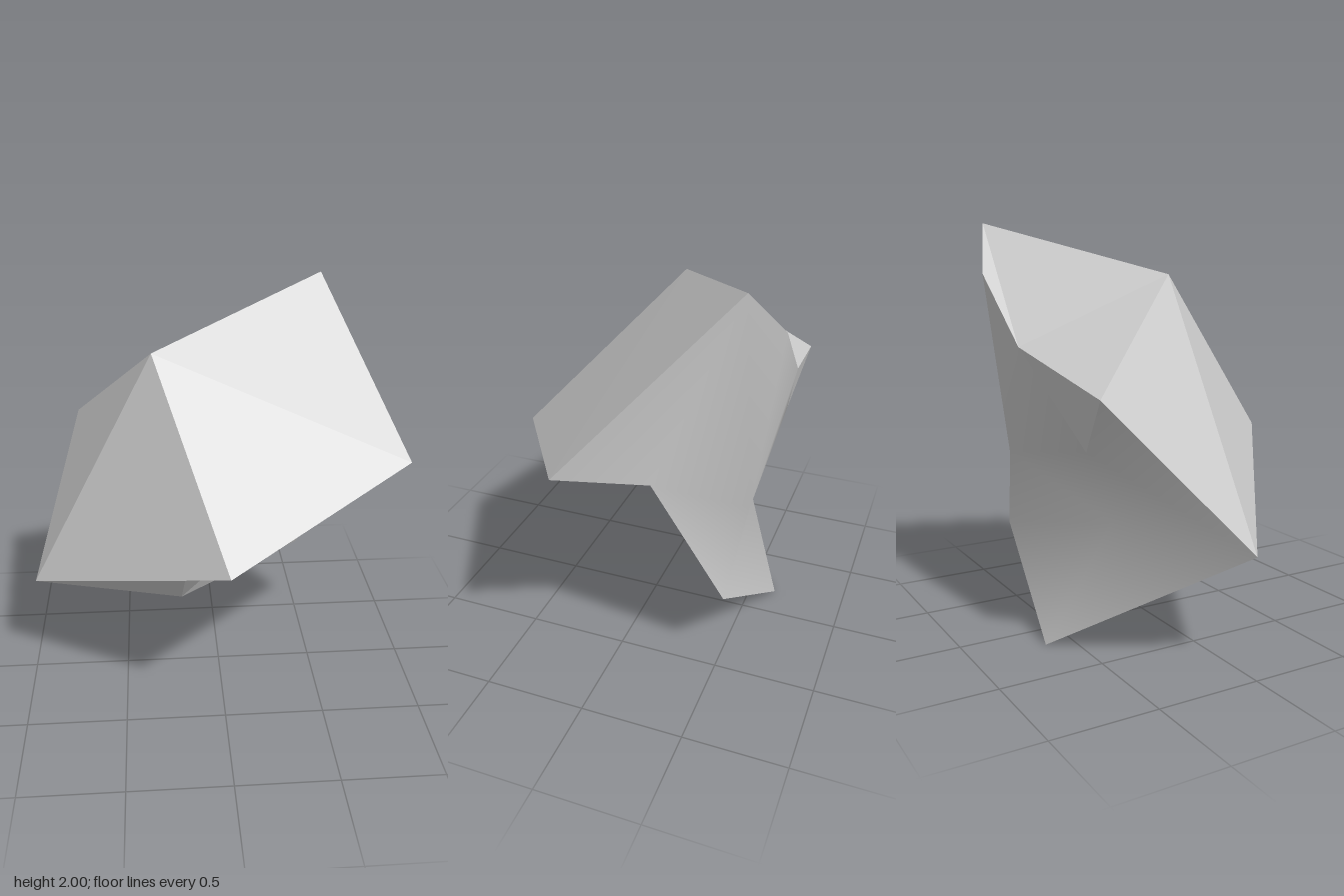
import * as THREE from 'three';

// Corner points of the boulder
const P = {
  peak: [0.585, 2.0, -0.6],
  shoulder: [-0.32, 1.75, -0.04],
  nose: [0.005, 0.93, 0.71],
  wing: [0.955, 1.21, 0.12],
  side: [-0.96, 0.55, 0.02],
  sideTop: [-0.73, 1.255, -0.62],
  foot: [-0.18, 0.0, -0.635],
  wingBase: [0.71, 1.12, -0.24],
  belly: [-0.14, 0.56, -0.16],
  heel: [0.5, 0.425, -0.53],
  backTop: [0.32, 1.75, -0.71],
  backRim: [-0.06, 1.42, -0.69],
  overhang: [-0.49, 0.99, -0.565],
  ridge: [0.32, 0.85, -0.59],
  hollow: [-0.39, 0.62, -0.38],
};

// Builds a mesh from polygons of named corners; smooth shares normals between them
function shell(name, polygons, smooth, material) {
  const names = Object.keys(P);
  const index = [];
  for (const polygon of polygons) {
    const ids = polygon.split(' ').map((n) => names.indexOf(n));
    for (let i = 1; i < ids.length - 1; i++) index.push(ids[0], ids[i], ids[i + 1]);
  }
  let geometry = new THREE.BufferGeometry();
  geometry.setAttribute('position', new THREE.Float32BufferAttribute(Object.values(P).flat(), 3));
  geometry.setIndex(index);
  // Dropping the index leaves every flat facet with its own corners
  if (smooth) {
    geometry.computeVertexNormals();
    geometry = geometry.toNonIndexed();
  } else {
    geometry = geometry.toNonIndexed();
    geometry.computeVertexNormals();
  }
  const mesh = new THREE.Mesh(geometry, material);
  mesh.name = name;
  return mesh;
}

export function createModel() {
  const stone = new THREE.MeshStandardMaterial({ color: 0xcccccc });
  stone.name = 'stone grey';

  const boulder = new THREE.Group();
  boulder.name = 'boulder';
  boulder.add(
    // Broad slab and facets facing forward
    shell('frontFacets', [
      'shoulder nose wing peak',
      'shoulder side nose',
      'shoulder sideTop side',
    ], false, stone),
    // Top facets and the small overhang behind them
    shell('topFacets', [
      'peak backTop backRim',
      'peak backRim shoulder',
      'shoulder backRim sideTop',
      'backRim overhang sideTop',
    ], false, stone),
    // Undercut facets
    shell('undersideFacets', [
      'nose side belly',
      'nose belly wingBase wing',
      'side foot belly',
      'belly foot wingBase',
      'wingBase foot heel',
    ], false, stone),
    // Softly shaded, hollowed back
    shell('smoothBack', [
      'peak wing wingBase',
      'peak wingBase ridge',
      'wingBase heel ridge',
      'heel hollow ridge',
      'heel foot hollow',
      'peak ridge backTop',
      'backTop ridge backRim',
      'backRim ridge overhang',
      'overhang ridge hollow',
      'foot side hollow',
      'side overhang hollow',
      'side sideTop overhang',
    ], true, stone),
  );
  return boulder;
}
